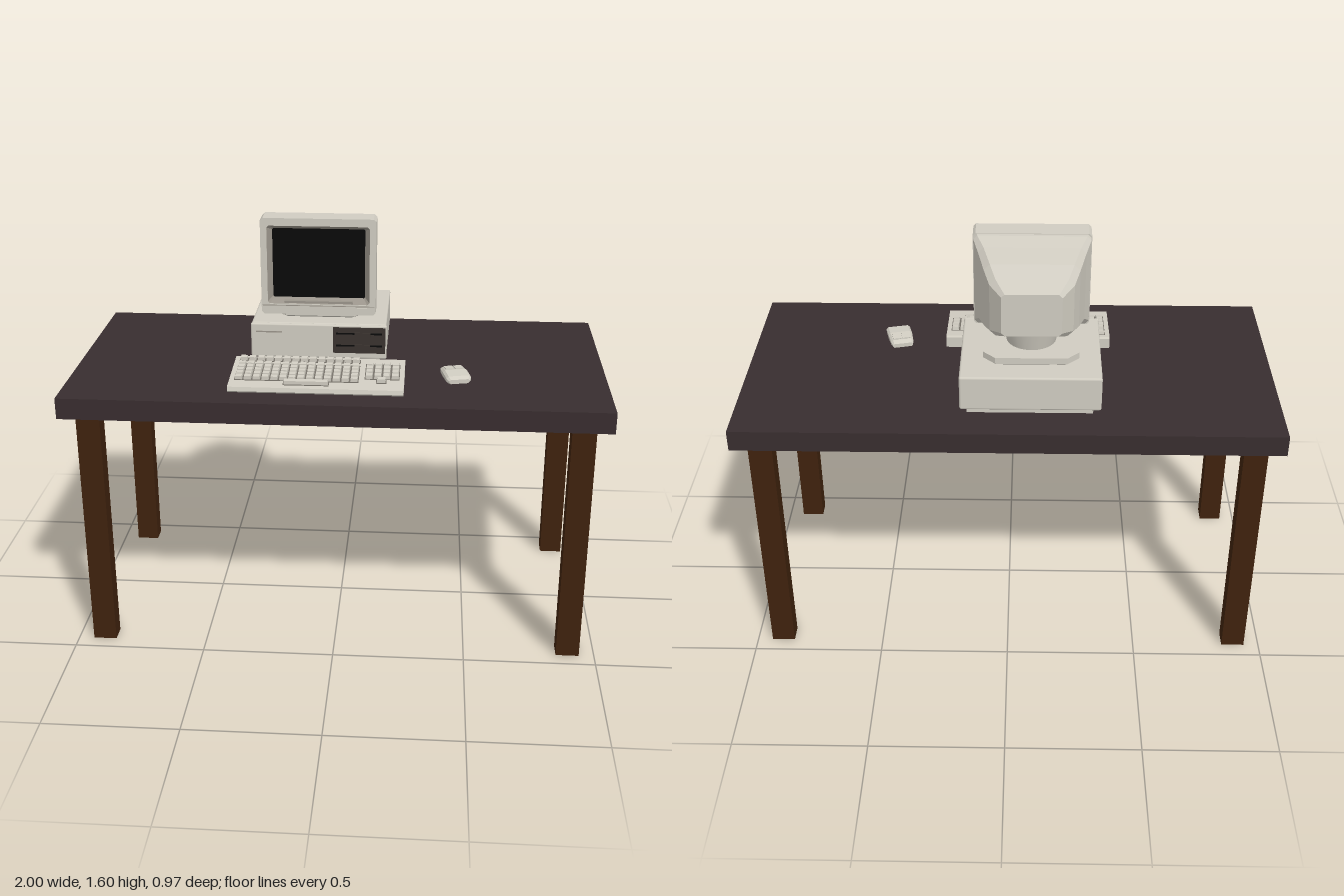
import * as THREE from 'three';
import { mergeGeometries } from 'three/addons/utils/BufferGeometryUtils.js';
import { RoundedBoxGeometry } from 'three/addons/geometries/RoundedBoxGeometry.js';

const mat = (name, color, extra = {}) => {
  const m = new THREE.MeshStandardMaterial({ color, ...extra });
  m.name = name;
  return m;
};

export function createModel() {
  const top = mat('dark tabletop', 0x382d2f);
  const wood = mat('brown wood', 0x3f220d);
  const beige = mat('beige plastic', 0xd0ccc1);
  const shade = mat('grey plastic', 0x9b958b, { side: THREE.DoubleSide });
  const well = mat('key gap grey', 0x77726a);
  const bay = mat('drive bay brown', 0x3a332f);
  const black = mat('screen black', 0x0a0a0a);

  const model = new THREE.Group();
  model.name = 'computerDesk';
  const group = (name, parent = model) => {
    const g = new THREE.Group();
    g.name = name;
    parent.add(g);
    return g;
  };
  const add = (name, geo, m, parent) => {
    const mesh = new THREE.Mesh(geo, m);
    mesh.name = name;
    parent.add(mesh);
    return mesh;
  };
  // box given by its lower and upper limits on each axis
  const span = (name, [x0, x1], [y0, y1], [z0, z1], m, parent, r = 0) => {
    const s = [x1 - x0, y1 - y0, z1 - z0];
    const geo = r ? new RoundedBoxGeometry(...s, 2, r) : new THREE.BoxGeometry(...s);
    const mesh = add(name, geo, m, parent);
    mesh.position.set((x0 + x1) / 2, (y0 + y1) / 2, (z0 + z1) / 2);
    return mesh;
  };
  // chamfered rectangle, counter-clockwise seen from the front
  const ring = (z, cx, w, y0, y1, c) => [
    [cx + w, y0 + c, z], [cx + w, y1 - c, z], [cx + w - c, y1, z], [cx - w + c, y1, z],
    [cx - w, y1 - c, z], [cx - w, y0 + c, z], [cx - w + c, y0, z], [cx + w - c, y0, z],
  ];
  // skin over rings ordered from front to back
  const loft = (rings, caps = true) => {
    const p = [], n = rings[0].length;
    const tri = (...v) => v.forEach((q) => p.push(...q));
    for (let i = 0; i < rings.length - 1; i++) {
      for (let j = 0; j < n; j++) {
        const k = (j + 1) % n, a = rings[i], b = rings[i + 1];
        tri(a[j], b[j], b[k]);
        tri(a[j], b[k], a[k]);
      }
    }
    const f = rings[0], e = rings[rings.length - 1];
    for (let j = 1; caps && j < n - 1; j++) {
      tri(f[0], f[j], f[j + 1]);
      tri(e[0], e[j + 1], e[j]);
    }
    const geo = new THREE.BufferGeometry();
    geo.setAttribute('position', new THREE.Float32BufferAttribute(p, 3));
    geo.computeVertexNormals();
    return geo;
  };

  // desk
  const desk = group('desk');
  span('tabletop', [-1, 1], [0.95, 1.03], [-0.485, 0.485], top, desk);
  for (const sx of [-1, 1]) for (const sz of [-1, 1]) {
    const leg = add('tableLeg', new THREE.BoxGeometry(0.088, 0.95, 0.066), wood, desk);
    leg.position.set(sx * 0.898, 0.475, sz * 0.41);
  }

  // system case with plinth, fascia and drive bay
  const unit = group('systemUnit');
  span('plinth', [-0.31, 0.15], [1.03, 1.06], [-0.34, 0.055], beige, unit);
  span('caseBody', [-0.338, 0.175], [1.059, 1.194], [-0.37, 0.072], beige, unit, 0.008);
  span('caseFascia', [-0.34, 0.177], [1.059, 1.192], [0.066, 0.082], beige, unit, 0.006);
  span('driveBay', [-0.027, 0.172], [1.082, 1.184], [0.078, 0.085], bay, unit);
  for (const y of [1.16, 1.112]) {
    span('driveSlot', [-0.015, 0.16], [y - 0.003, y + 0.003], [0.083, 0.087], black, unit);
    span('driveLatch', [0.055, 0.115], [y - 0.013, y + 0.005], [0.083, 0.09], bay, unit);
  }
  span('badgeStrip', [-0.32, -0.22], [1.158, 1.163], [0.078, 0.084], shade, unit);

  // swivel stand
  const cx = -0.083;
  const stand = group('monitorStand');
  const plate = add('standPlate', loft([
    ring(0.03, 0, 0.175, -0.14, 0.14, 0.045), ring(0.006, 0, 0.175, -0.14, 0.14, 0.045),
    ring(0, 0, 0.168, -0.133, 0.133, 0.045),
  ]), beige, stand);
  plate.rotation.x = -Math.PI / 2;
  plate.position.set(cx, 1.194, -0.14);
  const neck = add('standNeck', new THREE.CylinderGeometry(0.112, 0.09, 0.09, 24), beige, stand);
  neck.position.set(cx, 1.262, -0.13);

  // monitor: hollow front frame, recess, screen and tapered housing
  const monitor = group('monitor');
  const outline = ring(0, cx, 0.216, 1.225, 1.595, 0.01).map(([x, y]) => new THREE.Vector2(x, y));
  const frame = new THREE.Shape(outline);
  const opening = ring(0, cx, 0.192, 1.265, 1.566, 0.008);
  frame.holes.push(new THREE.Path(opening.map(([x, y]) => new THREE.Vector2(x, y)).reverse()));
  const frameGeo = new THREE.ExtrudeGeometry(frame, { depth: 0.085, bevelEnabled: false });
  add('screenFrame', frameGeo, beige, monitor).position.z = -0.027;
  add('screenRecess', loft([
    ring(0.056, cx, 0.192, 1.265, 1.566, 0.008), ring(0.03, cx, 0.173, 1.285, 1.55, 0.004),
  ], false), shade, monitor);
  span('screen', [cx - 0.176, cx + 0.176], [1.283, 1.552], [0.022, 0.031], black, monitor);
  span('chinGroove', [cx - 0.212, cx + 0.212], [1.257, 1.26], [0.055, 0.0585], shade, monitor);
  span('controlFlap', [0.045, 0.1], [1.235, 1.252], [0.055, 0.061], beige, monitor);
  span('lowerLip', [cx - 0.13, cx + 0.13], [1.268, 1.276], [0.04, 0.057], shade, monitor);
  // columns: z, half width, bottom, top, corner cut
  const housing = [
    [-0.024, 0.214, 1.227, 1.593, 0.012],
    [-0.04, 0.213, 1.235, 1.592, 0.015],
    [-0.1, 0.194, 1.268, 1.574, 0.02],
    [-0.19, 0.171, 1.284, 1.553, 0.022],
    [-0.25, 0.15, 1.3, 1.525, 0.022],
    [-0.313, 0.107, 1.333, 1.498, 0.012],
  ];
  add('monitorHousing', loft(housing.map(([z, w, y0, y1, c]) => ring(z, cx, w, y0, y1, c))), beige, monitor);

  // keyboard wedge, its side profile swept across
  const keyboard = group('keyboard');
  const kx = -0.07, slope = 0.1;
  const deckY = (z) => 1.053 + (0.39 - z) * slope;
  const wedge = new THREE.Shape([
    [0.13, 1.03], [0.38, 1.03], [0.39, 1.038], [0.386, deckY(0.386)], [0.135, deckY(0.135)], [0.13, 1.072],
  ].map(([z, y]) => new THREE.Vector2(z, y)));
  const wedgeGeo = new THREE.ExtrudeGeometry(wedge, { depth: 0.64, bevelEnabled: false });
  wedgeGeo.translate(0, 0, -0.32).rotateY(-Math.PI / 2);
  add('keyboardBody', wedgeGeo, beige, keyboard).position.x = kx;

  // key blocks: x range, z range, columns, rows
  const blocks = [
    [-0.372, 0.084, 0.15, 0.178, 14, 1],
    [-0.372, 0.084, 0.197, 0.333, 14, 5],
    [-0.19, -0.022, 0.336, 0.364, 1, 1],
    [0.105, 0.233, 0.182, 0.304, 4, 4],
    [0.148, 0.186, 0.304, 0.334, 1, 1],
  ];
  const keys = [];
  const tilt = Math.atan(slope);
  for (const [x0, x1, z0, z1, cols, rows] of blocks) {
    const dx = (x1 - x0) / cols, dz = (z1 - z0) / rows;
    const bed = add('keyWell', new THREE.BoxGeometry(x1 - x0, 0.004, z1 - z0), well, keyboard);
    bed.position.set((x0 + x1) / 2, deckY((z0 + z1) / 2), (z0 + z1) / 2);
    bed.rotation.x = tilt;
    for (let r = 0; r < rows; r++) for (let c = 0; c < cols; c++) {
      const key = new THREE.BoxGeometry(dx - 0.005, 0.016, dz - 0.005);
      const p = key.attributes.position;
      for (let i = 0; i < p.count; i++) {
        if (p.getY(i) > 0) p.setXYZ(i, p.getX(i) - Math.sign(p.getX(i)) * 0.002, p.getY(i), p.getZ(i) * 0.85);
      }
      key.computeVertexNormals();
      const z = z0 + (r + 0.5) * dz;
      keys.push(key.rotateX(tilt).translate(x0 + (c + 0.5) * dx, deckY(z) + 0.007, z));
    }
  }
  add('keys', mergeGeometries(keys), beige, keyboard);

  // mouse, turned slightly on the desk
  const mouse = group('mouse');
  mouse.position.set(0.437, 1.03, 0.185);
  mouse.rotation.y = 0.24;
  add('mouseBody', loft([
    ring(0.068, 0, 0.038, 0.004, 0.02, 0.005), ring(0.055, 0, 0.047, 0.002, 0.03, 0.008),
    ring(0, 0, 0.047, 0.002, 0.034, 0.008), ring(-0.05, 0, 0.044, 0.002, 0.028, 0.008),
    ring(-0.068, 0, 0.039, 0.004, 0.02, 0.005),
  ]), beige, mouse);
  span('mouseSole', [-0.036, 0.036], [0, 0.004], [-0.055, 0.055], shade, mouse);
  for (const s of [-1, 1]) {
    const button = add('mouseButton', new THREE.BoxGeometry(0.032, 0.006, 0.042), beige, mouse);
    button.position.set(s * 0.018, 0.032, -0.026);
    button.rotation.x = -0.12;
  }
  return model;
}
